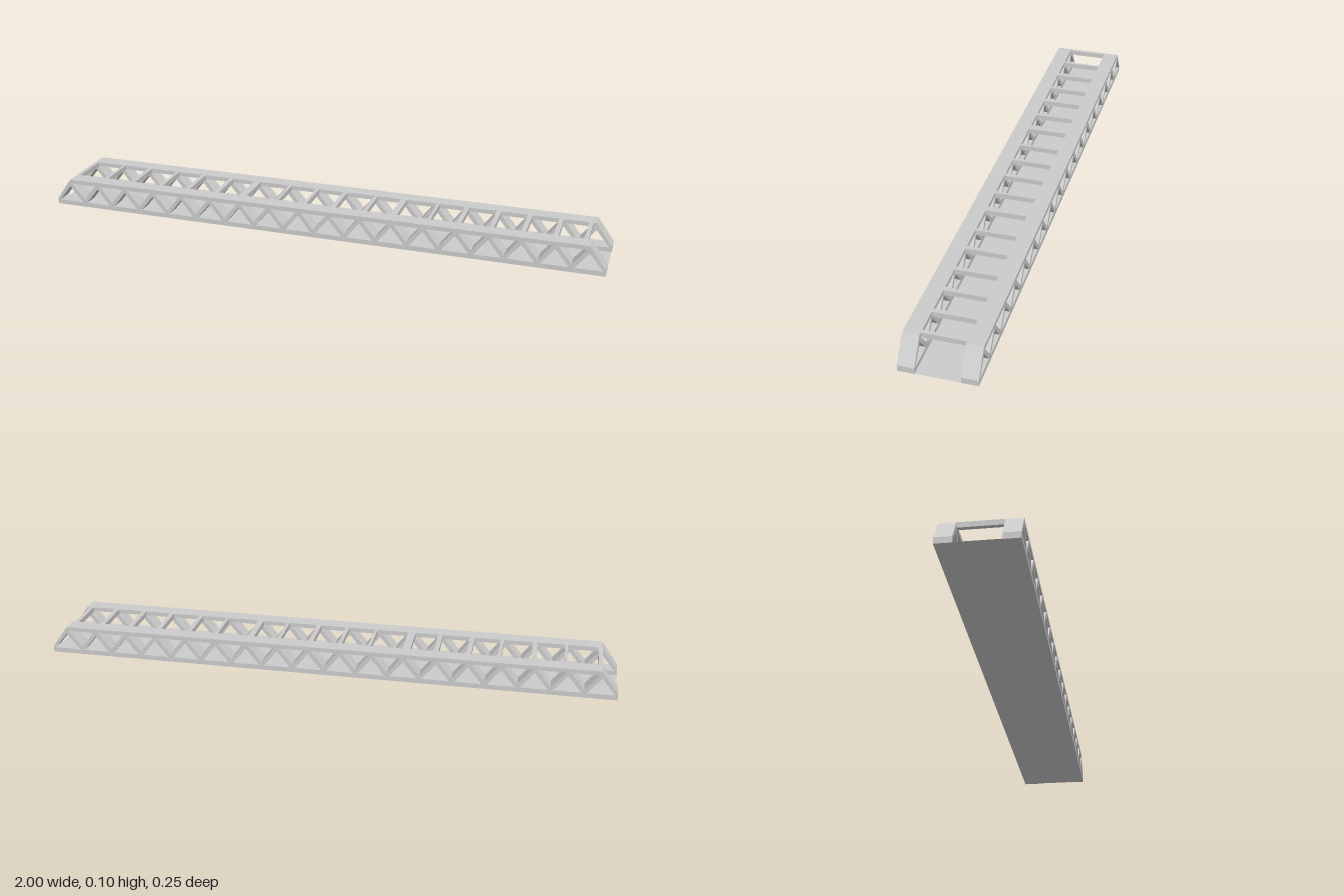
import * as THREE from 'three';

const PANELS = 18, PITCH = 2 / PANELS;
const LOW = 0.017, HIGH = 0.086;      // inner edges of the chords
const HALF_BAR = 0.009;               // half width of a diagonal, along x
const INNER = 0.071, OUTER = 0.125;   // z range of each truss
const TOP = 0.101, END = 0.943;

const grey = new THREE.MeshStandardMaterial({ color: 0xcccccc, flatShading: true, side: THREE.DoubleSide });

function add(group, name, geometry, x, y, z) {
  const mesh = new THREE.Mesh(geometry, grey);
  mesh.name = name;
  mesh.position.set(x, y, z);
  group.add(mesh);
}

function polygon(points, Type = THREE.Shape) {
  return new Type(points.map(([x, y]) => new THREE.Vector2(x, y)));
}

// Triangular opening with its base on one chord and its tip near the other
function opening(x, base, tip) {
  const half = PITCH / 2 - HALF_BAR;
  const tipY = base + (tip - base) * half / (PITCH / 2);
  return polygon([[x - half, base], [x, tipY], [x + half, base]], THREE.Path);
}

// Side truss: trapezoid plate with alternating triangular holes
function trussGeometry() {
  const shape = polygon([[-1, 0], [1, 0], [1, 0.021], [END, TOP], [-END, TOP], [-1, 0.021]]);
  for (let i = 0; i < PANELS; i++) {
    const x = -1 + (i + 0.5) * PITCH;
    shape.holes.push(opening(x, LOW, HIGH));
    if (i > 0) shape.holes.push(opening(-1 + i * PITCH, HIGH, LOW));
  }
  return new THREE.ExtrudeGeometry(shape, { depth: OUTER - INNER, bevelEnabled: false });
}

export function createModel() {
  const group = new THREE.Group();
  group.name = 'trussBridge';

  const truss = trussGeometry();
  add(group, 'frontTruss', truss, 0, 0, INNER);
  add(group, 'backTruss', truss, 0, 0, -OUTER);

  // Thin base sheet
  const base = new THREE.PlaneGeometry(2, OUTER * 2);
  base.rotateX(-Math.PI / 2);
  add(group, 'baseSheet', base, 0, 0.001, 0);

  // Cross bars between the upper chords, slightly uneven: [centre, width]
  const bars = [
    [-0.937, 0.014], [-0.821, 0.01], [-0.714, 0.016], [-0.6, 0.012], [-0.495, 0.016], [-0.383, 0.016],
    [-0.281, 0.026], [-0.152, 0.01], [-0.048, 0.012], [0.056, 0.016], [0.171, 0.012], [0.273, 0.022],
    [0.398, 0.01], [0.5, 0.016], [0.612, 0.016], [0.719, 0.016], [0.826, 0.016], [0.925, 0.014],
  ];
  for (const [x, width] of bars) {
    add(group, 'crossBar', new THREE.BoxGeometry(width, 0.018, INNER * 2), x, TOP - 0.009, 0);
  }
  return group;
}
